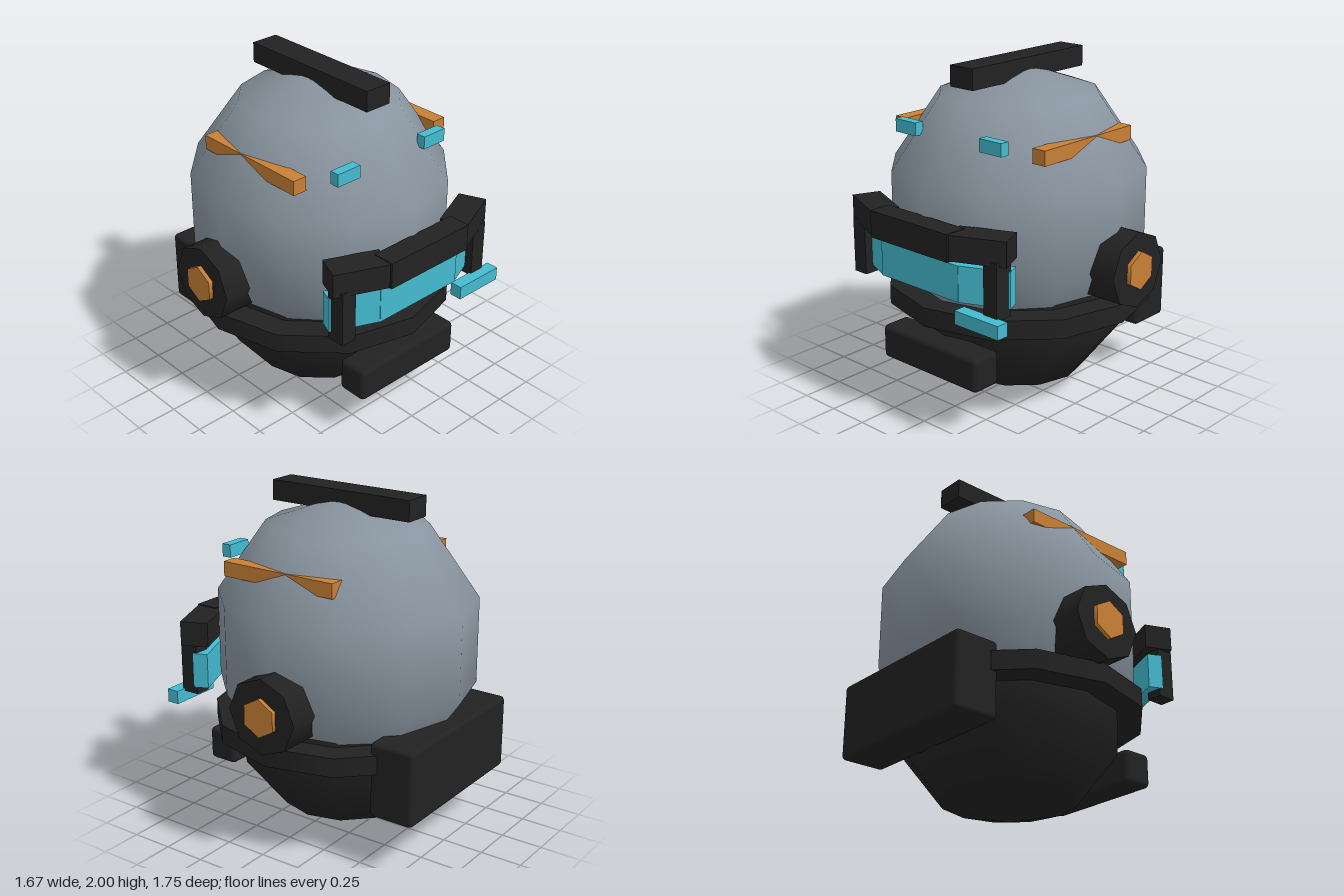
import * as THREE from 'three';
import { RoundedBoxGeometry } from 'three/addons/geometries/RoundedBoxGeometry.js';

const material = (name, color) => {
  const m = new THREE.MeshStandardMaterial({ color });
  m.name = name;
  return m;
};

export function createModel() {
  const grey = material('steelGrey', 0x88949f);
  const black = material('charcoalBlack', 0x222222);
  const cyan = material('glowCyan', 0x44bbd0);
  const orange = material('accentOrange', 0xc88035);

  const root = new THREE.Group();
  root.name = 'helmetHead';
  const CX = -0.055; // centre of the skull along x; the face looks along +x

  const add = (name, geometry, mat, x, y, z) => {
    const mesh = new THREE.Mesh(geometry, mat);
    mesh.name = name;
    mesh.position.set(x, y, z);
    root.add(mesh);
    return mesh;
  };
  // Box given by its extents on each axis
  const box = (name, mat, [x0, x1], [y0, y1], [z0, z1], radius = 0) => {
    const size = [x1 - x0, y1 - y0, z1 - z0];
    const geometry = radius
      ? new RoundedBoxGeometry(...size, 2, radius)
      : new THREE.BoxGeometry(...size);
    return add(name, geometry, mat, (x0 + x1) / 2, (y0 + y1) / 2, (z0 + z1) / 2);
  };

  // Skull, jaw and the rim between them
  add('skull', new THREE.SphereGeometry(1, 12, 5), grey, CX, 1.125, 0).scale.set(0.805, 0.835, 0.773);
  add('jaw', new THREE.SphereGeometry(1, 12, 5), black, CX, 0.63, 0).scale.set(0.669, 0.63, 0.673);
  add('rim', new THREE.CylinderGeometry(0.784, 0.784, 0.113, 12), black, CX, 0.638, 0);

  // Crest, rear pack and chin guard
  box('crest', black, [-0.52, 0.41], [1.88, 2.0], [-0.085, 0.085]);
  box('rearPack', black, [-0.84, -0.565], [0.315, 0.76], [-0.51, 0.51], 0.025);
  box('chinGuard', black, [0.52, 0.71], [0.275, 0.48], [-0.373, 0.373], 0.03);

  // Centre of the wrap-around visor and its brow
  box('visorCentre', cyan, [0.66, 0.76], [0.82, 1.03], [-0.3, 0.3]);
  box('browCentre', black, [0.70, 0.835], [1.067, 1.225], [-0.297, 0.297]);

  // Small light hanging below the visor on one side
  box('sideLight', cyan, [0.725, 0.8], [0.71, 0.79], [-0.625, -0.31]);

  for (const s of [1, -1]) {
    const side = s > 0 ? 'Right' : 'Left';
    const span = (a, b) => (s > 0 ? [a, b] : [-b, -a]);

    // Angled ends of visor and brow
    add('visor' + side, new THREE.BoxGeometry(0.09, 0.21, 0.296), cyan, 0.659, 0.925, s * 0.417).rotation.y = -s * 0.4;
    add('brow' + side, new THREE.BoxGeometry(0.165, 0.145, 0.32), black, 0.69, 1.148, s * 0.418).rotation.y = -s * 0.4;
    box('visorPost' + side, black, [0.625, 0.738], [0.775, 1.1], span(0.465, 0.56));

    // Ear cup with hexagonal hub
    add('earCup' + side, new THREE.CylinderGeometry(0.222, 0.222, 0.3, 8).rotateX(Math.PI / 2), black, -0.095, 0.905, s * 0.7);
    add('earHub' + side, new THREE.CylinderGeometry(0.112, 0.112, 0.1, 6).rotateX(Math.PI / 2), orange, -0.095, 0.907, s * 0.825);

    // Temple stripe half sunk in the skull, and forehead light
    box('templeStripe' + side, orange, [-0.365, 0.375], [1.545, 1.63], span(0.485, 0.572));
    box('foreheadLight' + side, cyan, [0.473, 0.53], [1.595, 1.67], span(0.243, 0.403));
  }
  return root;
}
